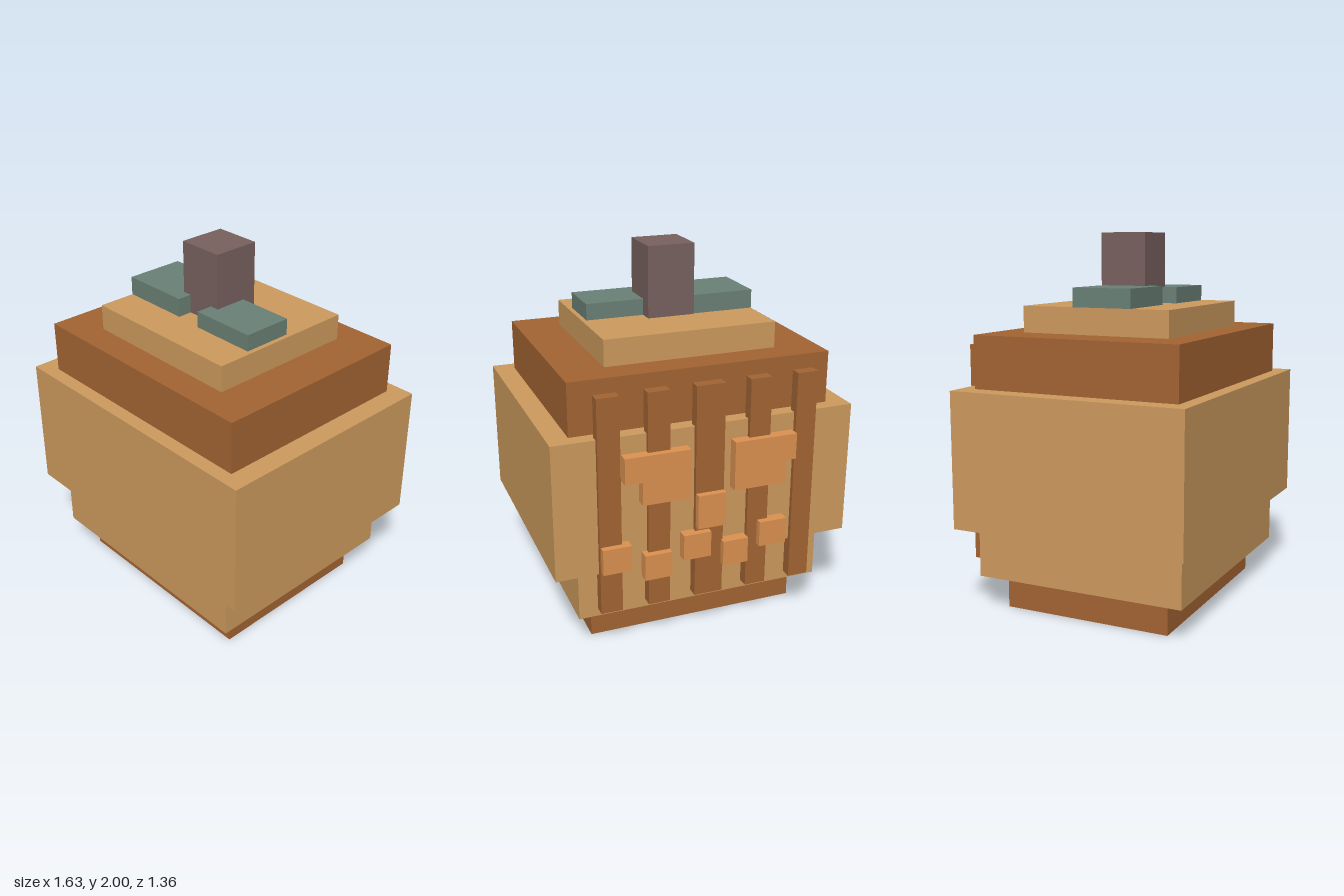
import * as THREE from 'three';

const paint = (color) => new THREE.MeshStandardMaterial({ color, flatShading: true });

export function createModel() {
  const model = new THREE.Group();
  const tan = paint(0xcd9a5e), brown = paint(0xa36433), orange = paint(0xdc9150);
  const green = paint(0x6a8075), mauve = paint(0x78615f);

  // Box given by its lower and upper limits on each axis
  function block(name, material, [x0, x1], [y0, y1], [z0, z1], parent = model) {
    const mesh = new THREE.Mesh(new THREE.BoxGeometry(x1 - x0, y1 - y0, z1 - z0), material);
    mesh.position.set((x0 + x1) / 2, (y0 + y1) / 2, (z0 + z1) / 2);
    mesh.name = name;
    parent.add(mesh);
  }

  // Stacked tiers of the body: half width, heights, depths
  block('baseTier', brown, [-0.585, 0.585], [0, 0.185], [-0.437, 0.5]);
  block('lowerTier', tan, [-0.68, 0.68], [0.185, 0.47], [-0.553, 0.615]);
  block('middleTier', tan, [-0.813, 0.813], [0.47, 1.2], [-0.62, 0.679]);
  block('upperTier', brown, [-0.702, 0.702], [1.2, 1.48], [-0.543, 0.602]);
  block('topTier', tan, [-0.468, 0.465], [1.48, 1.62], [-0.386, 0.445]);

  // Stem and its two leaves
  block('stem', mauve, [-0.13, 0.127], [1.62, 2], [-0.1, 0.158]);
  block('rightLeaf', green, [-0.47, -0.08], [1.62, 1.72], [-0.09, 0.237]);
  block('leftLeaf', green, [0.077, 0.44], [1.62, 1.707], [-0.022, 0.249]);

  // Upright slats on the back
  const slats = new THREE.Group();
  slats.name = 'backSlats';
  model.add(slats);
  for (const x of [[-0.59, -0.477], [-0.333, -0.217], [-0.08, 0.075], [0.213, 0.33], [0.472, 0.588]])
    block('slat', brown, x, [0.25, 1.417], [-0.644, -0.585], slats);

  // Carved face fixed over the slats
  const face = new THREE.Group();
  face.name = 'carvedFace';
  model.add(face);
  const depth = [-0.679, -0.62];
  block('leftEye', orange, [0.115, 0.37], [0.84, 1.105], depth, face);
  block('leftEyeCorner', orange, [0.37, 0.462], [0.965, 1.105], depth, face);
  block('rightEye', orange, [-0.41, -0.125], [0.84, 1.105], depth, face);
  block('rightEyeCorner', orange, [-0.468, -0.41], [0.965, 1.105], depth, face);
  block('nose', orange, [-0.08, 0.073], [0.655, 0.84], depth, face);

  // Zigzag row of teeth
  [[0.43, 0.582], [0.215, 0.36], [0, 0.15], [-0.21, -0.07], [-0.43, -0.275]].forEach((x, i) =>
    block('tooth', orange, x, i % 2 ? [0.415, 0.555] : [0.49, 0.63], depth, face));

  return model;
}
